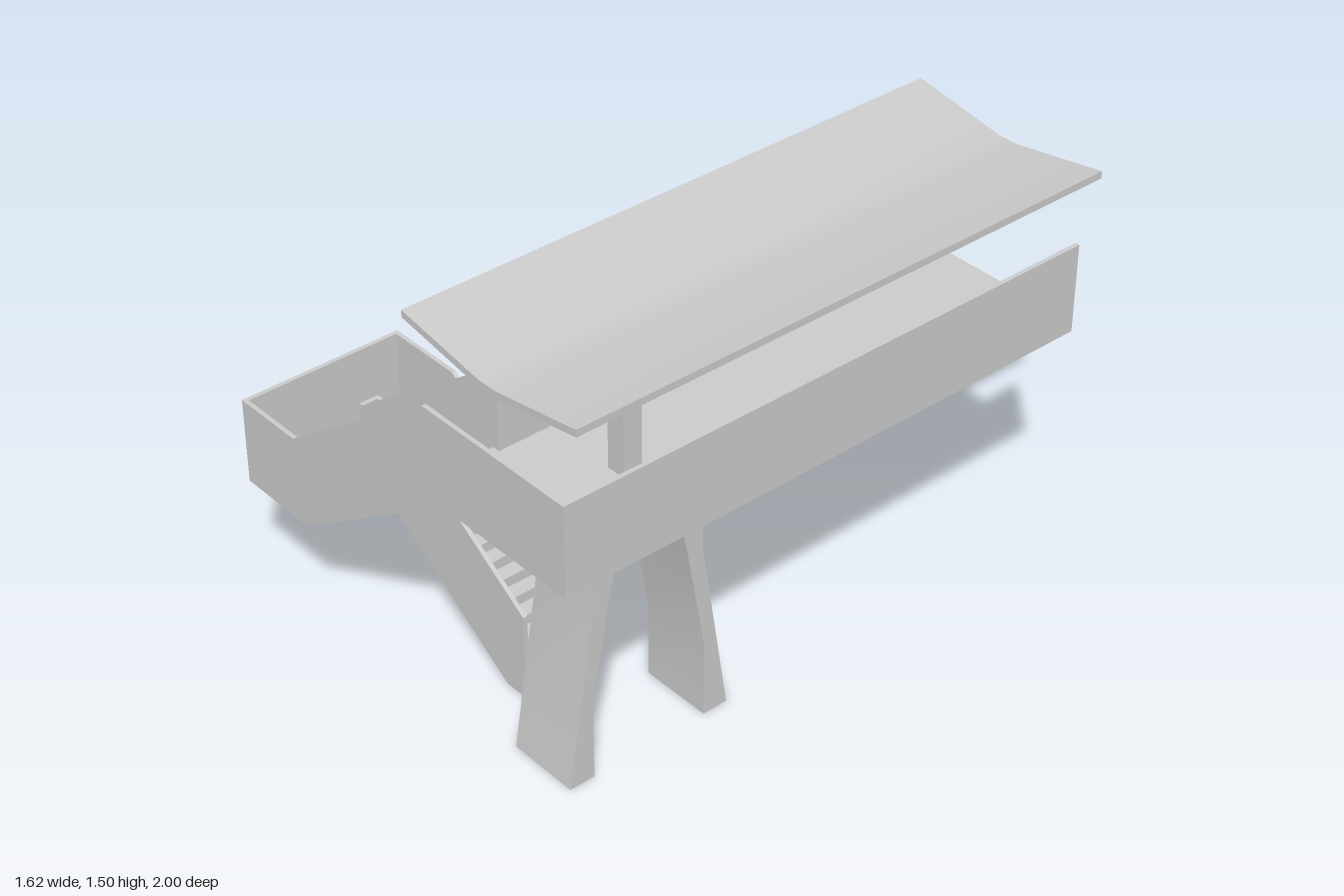
import * as THREE from 'three';
import { toCreasedNormals } from 'three/addons/utils/BufferGeometryUtils.js';

export function createModel() {
  const model = new THREE.Group();
  const material = new THREE.MeshStandardMaterial({ color: 0xcccccc, side: THREE.DoubleSide });

  const add = (name, geometry) => {
    const mesh = new THREE.Mesh(geometry, material);
    mesh.name = name;
    model.add(mesh);
    return mesh;
  };
  const box = (name, x0, x1, y0, y1, z0, z1) => {
    const g = new THREE.BoxGeometry(x1 - x0, y1 - y0, z1 - z0);
    g.translate((x0 + x1) / 2, (y0 + y1) / 2, (z0 + z1) / 2);
    return add(name, g);
  };
  const extrude = (points, depth) => new THREE.ExtrudeGeometry(
    new THREE.Shape(points.map(([x, y]) => new THREE.Vector2(x, y))),
    { depth, bevelEnabled: false });
  // Outline in x and y, pulled from z0 to z1
  const plate = (name, points, z0, z1) =>
    add(name, extrude(points, z1 - z0).translate(0, 0, z0));

  const T = 0.015;                 // wall thickness
  const landingY = 0.475, deckY = 0.945;
  const run = 0.0545, rise = 0.0362;

  // Bridge deck: a channel open at the back end
  box('deckFloor', 0.12 + T, 0.75 - T, 0.91, deckY, -1, 1 - T);
  box('deckLeftWall', 0.75 - T, 0.75, 0.91, 1.22, -1, 1 - T);
  box('deckRightWall', 0.12, 0.12 + T, 0.91, 1.22, -1, 0.725);

  // Front wall runs in one piece along landing, upper flight and deck
  plate('frontWall', [
    [-0.81, 0.44], [-0.5, 0.44], [0.2, 0.91], [0.75, 0.91],
    [0.75, 1.22], [0.13, 1.22], [-0.54, 0.745], [-0.81, 0.745],
  ], 1 - T, 1);
  plate('upperFlightInnerWall', [
    [-0.56, 0.44], [-0.5, 0.44], [0.2, 0.91], [0.135, 0.91],
    [0.135, 1.22], [0.115, 1.22], [-0.545, 0.745], [-0.56, 0.745],
  ], 0.725, 0.74);

  // Landing
  box('landingFloor', -0.81 + T, -0.545, 0.44, landingY, 0.41 + T, 1 - T);
  box('landingEndWall', -0.81, -0.81 + T, 0.44, 0.745, 0.41 + T, 1 - T);
  box('landingInnerWall', -0.56, -0.545, 0.44, 0.745, 0.685, 0.725);

  // Lower flight walls
  const lowerWall = (start) => [
    [start, 0.44], [-0.6, 0.44], [0.06, 0], [0.15, 0],
    [0.15, 0.31], [-0.51, 0.745], [start, 0.745],
  ];
  plate('lowerFlightBackWall', lowerWall(-0.81), 0.41, 0.41 + T);
  plate('lowerFlightInnerWall', [
    [-0.56, 0.413], [0.06, 0], [0.15, 0], [0.15, 0.31], [-0.51, 0.745], [-0.56, 0.745],
  ], 0.67, 0.685);

  // Upper steps climb from the landing to the deck
  const upper = [[-0.5, 0.44], [-0.545, 0.44]];
  for (let k = 0; k < 13; k++) {
    const x = -0.545 + k * run;
    upper.push([x, landingY + k * rise], [x, landingY + (k + 1) * rise]);
  }
  upper.push([0.135, deckY], [0.135, 0.91], [0.2, 0.91]);
  plate('upperSteps', upper, 0.74, 1 - T);

  // Lower steps climb from the ground to the landing
  const lower = [[-0.6, 0.44], [0.06, 0], [0.149, 0]];
  for (let k = 12; k > 0; k--) {
    const y = landingY - k * rise;
    lower.push([-0.505 + k * run, y], [-0.505 + (k - 1) * run, y]);
  }
  lower.push([-0.505, landingY], [-0.545, landingY], [-0.545, 0.44]);
  plate('lowerSteps', lower, 0.41 + T, 0.67);

  // Pair of bent legs, mirrored about z = 0.54
  for (const side of [1, -1]) {
    const profile = [
      [0.307, 0], [0.206, 0.64], [0.206, 0.91], [0.09, 0.91],
      [0.149, 0.64], [0.215, 0.27], [0.215, 0],
    ].map(([z, y]) => [0.54 + side * z, y]);
    const g = extrude(profile, 0.255).rotateY(-Math.PI / 2).translate(0.56, 0, 0);
    add(side > 0 ? 'frontLeg' : 'backLeg', toCreasedNormals(g, 0.4));
  }

  // Roof with its post
  box('roofPost', 0.4, 0.47, deckY, 1.43, 0.487, 0.555);
  const roof = plate('roof', [
    [0.06, 1.478], [0.4, 1.422], [0.47, 1.422], [0.81, 1.478],
    [0.81, 1.502], [0.47, 1.446], [0.4, 1.446], [0.06, 1.502],
  ], -1, 1);
  roof.geometry = toCreasedNormals(roof.geometry, 0.4);

  return model;
}
